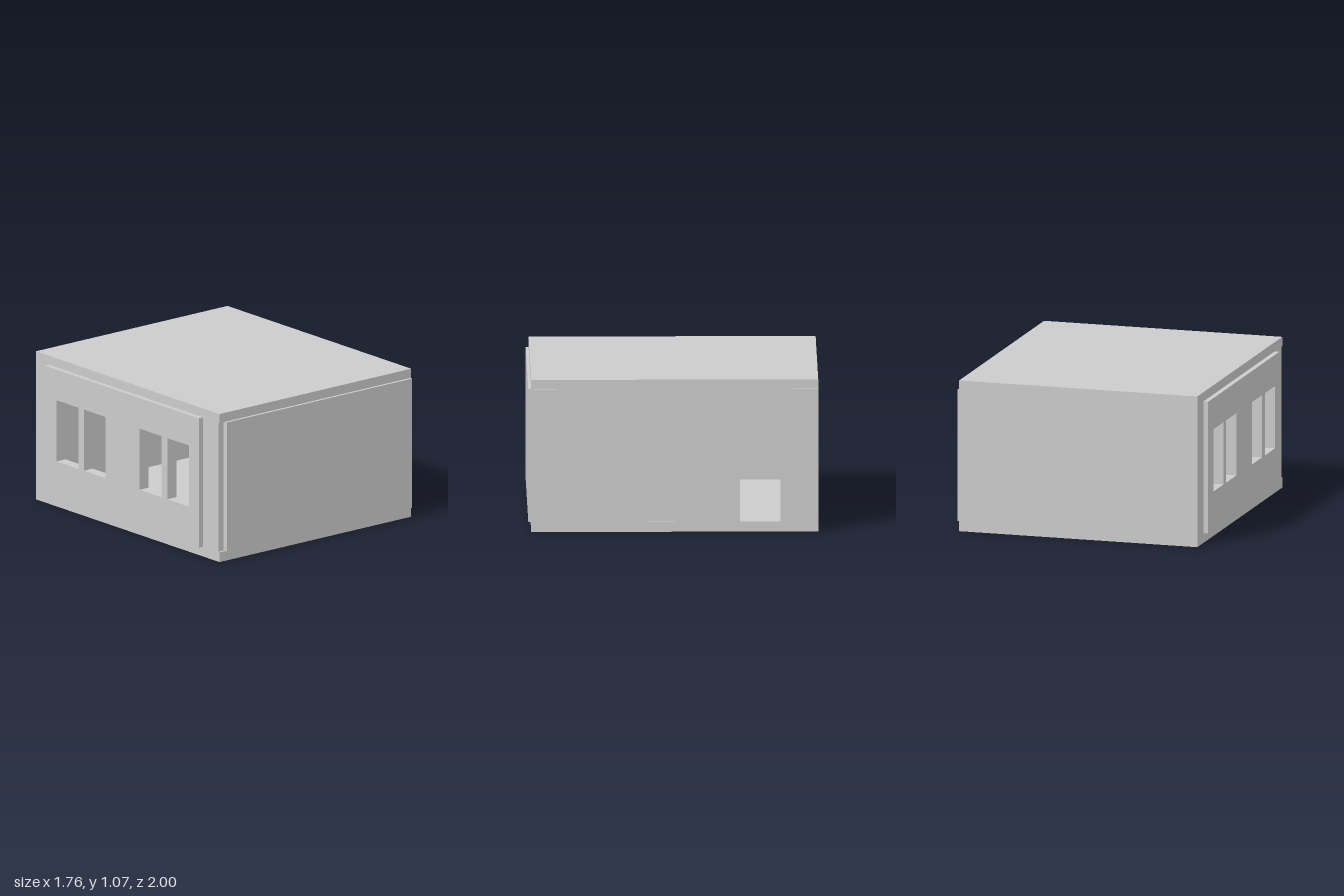
import * as THREE from 'three';

const FLOOR = 0.07, CEILING = 1.0;

export function createModel() {
  const group = new THREE.Group();
  const material = new THREE.MeshStandardMaterial({ color: 0xcccccc, flatShading: true });

  const add = (name, geometry) => {
    const mesh = new THREE.Mesh(geometry, material);
    mesh.name = name;
    group.add(mesh);
  };

  // Box given by its extents on each axis
  const block = (name, [x0, x1], [y0, y1], [z0, z1]) => {
    const geometry = new THREE.BoxGeometry(x1 - x0, y1 - y0, z1 - z0);
    geometry.translate((x0 + x1) / 2, (y0 + y1) / 2, (z0 + z1) / 2);
    add(name, geometry);
  };

  // Side wall: outline drawn in (z, y), thickened across x
  const sideWall = (name, [x0, x1], outline, holes = []) => {
    const shape = new THREE.Shape(outline.map(p => new THREE.Vector2(...p)));
    for (const [z0, z1, y0, y1] of holes) {
      shape.holes.push(new THREE.Path([[z0, y0], [z0, y1], [z1, y1], [z1, y0]].map(p => new THREE.Vector2(...p))));
    }
    const geometry = new THREE.ExtrudeGeometry(shape, { depth: x1 - x0, bevelEnabled: false });
    geometry.rotateY(-Math.PI / 2);
    geometry.translate(x1, 0, 0);
    add(name, geometry);
  };

  const height = [FLOOR, CEILING];

  // Floor and roof slabs
  block('floorSlab', [-0.85, 0.87], [0, FLOOR], [-1, 0.98]);
  block('roofSlab', [-0.85, 0.87], [CEILING, 1.065], [-1, 0.98]);

  // Plain front and back walls
  block('frontWall', [-0.8, 0.862], height, [0.92, 1]);
  block('backWall', [-0.85, 0.87], height, [-1, -0.92]);

  // Window wall on the -x side, with two pairs of windows
  const windows = [[-0.735, -0.5], [-0.44, -0.205], [0.16, 0.395], [0.46, 0.695]];
  sideWall('windowWall', [-0.885, -0.805],
    [[-0.86, FLOOR], [0.8, FLOOR], [0.8, CEILING], [-0.86, CEILING]],
    windows.map(([z0, z1]) => [z0, z1, 0.34, 0.78]));

  // Door wall on the +x side, notched down to the floor
  sideWall('doorWall', [0.79, 0.868], [
    [-0.83, FLOOR], [-0.74, FLOOR], [-0.74, 0.53], [-0.46, 0.53], [-0.46, FLOOR],
    [0.8, FLOOR], [0.8, CEILING], [-0.83, CEILING],
  ]);

  // Corner columns
  block('frontRightColumn', [-0.848, -0.8], height, [0.8, 0.965]);
  block('backRightColumn', [-0.85, -0.8], height, [-0.92, -0.86]);
  block('frontLeftColumn', [0.8, 0.88], height, [0.8, 0.965]);
  block('backLeftColumn', [0.8, 0.88], height, [-1, -0.83]);

  return group;
}
